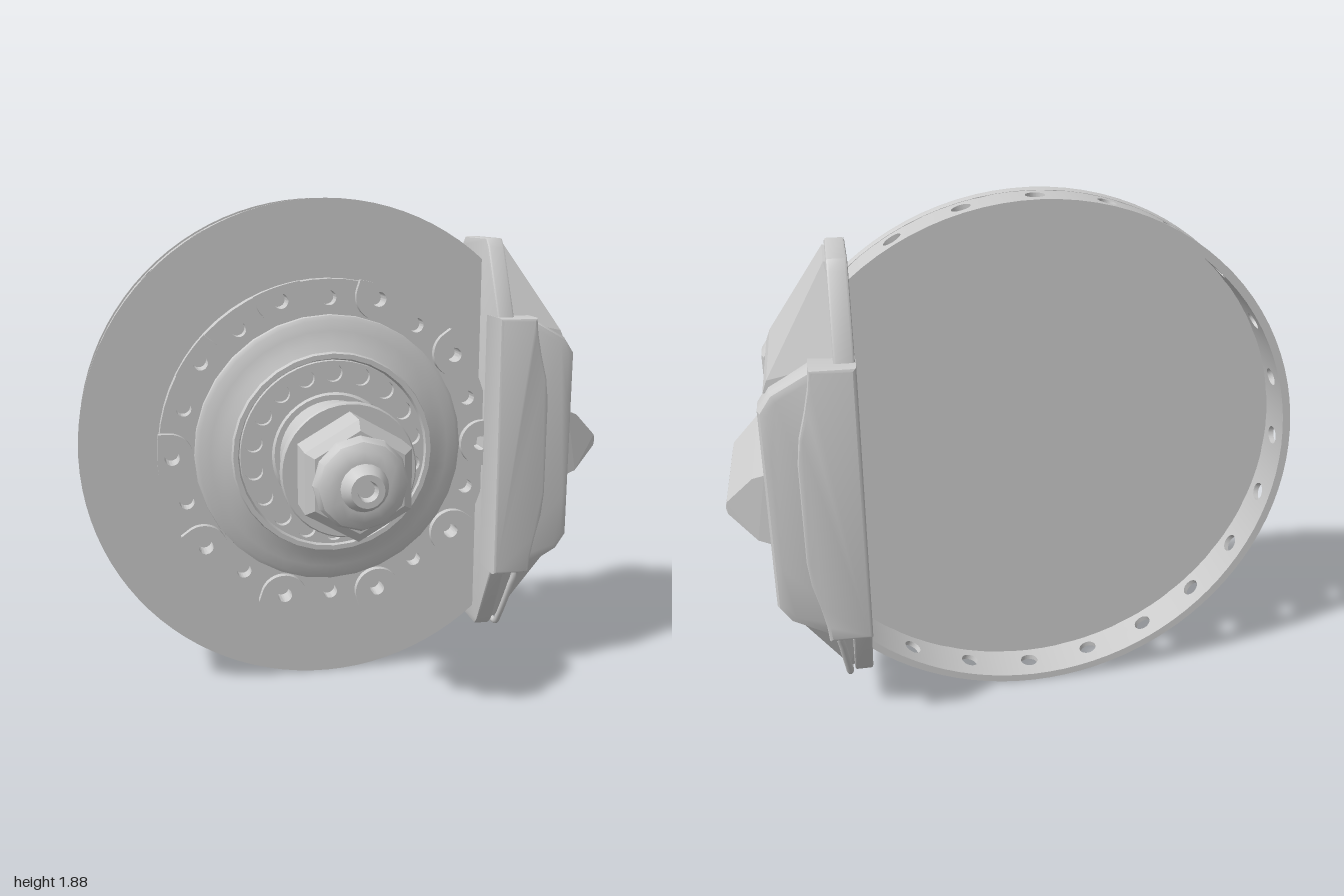
import * as THREE from 'three';
import { toCreasedNormals, mergeGeometries } from 'three/addons/utils/BufferGeometryUtils.js';
import { ConvexGeometry } from 'three/addons/geometries/ConvexGeometry.js';

const V2 = (p) => new THREE.Vector2(p[0], p[1]);
const MID = -0.2275; // z of the rotor and caliper mid-plane

export function createModel() {
  const model = new THREE.Group();
  const material = new THREE.MeshStandardMaterial({ color: 0xcccccc });
  const add = (parent, name, geometry) => {
    const mesh = new THREE.Mesh(geometry, material);
    mesh.name = name;
    parent.add(mesh);
    return mesh;
  };
  const group = (name) => {
    const g = new THREE.Group();
    g.name = name;
    model.add(g);
    return g;
  };

  // Turned part around the z axis; points are [radius, z]
  const turned = (points, sides) => toCreasedNormals(
    new THREE.LatheGeometry(points.map(V2), sides).rotateX(Math.PI / 2), 0.5);

  const circleHole = (x, y, r) => new THREE.Path().absarc(x, y, r, 0, Math.PI * 2, true);
  const extrude = (shape, z0, z1, bevel = 0, segments = 16) => {
    const g = new THREE.ExtrudeGeometry(shape, {
      depth: z1 - z0 - 2 * bevel, curveSegments: segments, bevelEnabled: bevel > 0,
      bevelThickness: bevel, bevelSize: bevel, bevelOffset: -bevel, bevelSegments: 2,
    });
    return toCreasedNormals(g.translate(0, 0, z0 + bevel), 0.5);
  };

  // Flat ring with holes listed as [count, pitch radius, hole radius, start angle]
  const drilledRing = (inner, outer, z0, z1, patterns) => {
    const shape = new THREE.Shape().absarc(0, 0, outer, 0, Math.PI * 2);
    shape.holes.push(circleHole(0, 0, inner));
    for (const [count, pitch, r, start] of patterns) {
      for (let i = 0; i < count; i++) {
        const a = start + (i / count) * Math.PI * 2;
        shape.holes.push(circleHole(Math.cos(a) * pitch, Math.sin(a) * pitch, r));
      }
    }
    return extrude(shape, z0, z1, 0, 32);
  };

  // ---- Rotor: cup-shaped disc, open at the back ----
  const rotor = group('rotor');
  rotor.position.set(-0.06, 0.94, 0);
  add(rotor, 'disc', turned([[0, -0.165], [0.935, -0.165], [0.94, -0.155], [0.94, -0.14], [0, -0.14]], 96));
  add(rotor, 'rearLip', turned([[0.912, -0.32], [0.94, -0.32], [0.94, -0.305], [0.912, -0.305], [0.912, -0.32]], 96));

  // Drilled rim: one 15 degree tile with a hole, bent round and repeated
  const R = 0.934, step = Math.PI / 12, half = R * step / 2, wall = 0.02;
  const edge = [-1, -0.5, 0, 0.5, 1].map((t) => t * half);
  const tile = new THREE.Shape([
    ...edge.map((u) => V2([u, -0.307])), ...edge.reverse().map((u) => V2([u, -0.152])),
  ]);
  tile.holes.push(circleHole(0, -0.23, 0.033));
  const rimTile = new THREE.ExtrudeGeometry(tile, { depth: wall, bevelEnabled: false, curveSegments: 20 });
  const pos = rimTile.attributes.position, nor = rimTile.attributes.normal;
  for (let i = 0; i < pos.count; i++) {
    const a = pos.getX(i) / R, r = R - wall + pos.getZ(i), s = Math.sin(a), c = Math.cos(a);
    const nu = nor.getX(i), nv = nor.getY(i), nw = nor.getZ(i);
    pos.setXYZ(i, -r * s, r * c, pos.getY(i));
    nor.setXYZ(i, -nu * c - nw * s, -nu * s + nw * c, nv);
  }
  const tiles = [];
  for (let i = 0; i < 24; i++) tiles.push(rimTile.clone().rotateZ(i * step));
  add(rotor, 'drilledRim', mergeGeometries(tiles));

  // ---- Hat, mounting ring and lugs ----
  add(rotor, 'mountingRing', drilledRing(0.5, 0.648, -0.14, -0.082, [
    [10, 0.6, 0.028, 0], [10, 0.578, 0.028, Math.PI / 10],
  ]));
  const lug = new THREE.Shape().absarc(0, 0, 0.654, -0.138, 0.138);
  lug.absarc(0.61, 0, 0.09, Math.PI / 2, Math.PI * 1.5);
  lug.holes.push(circleHole(0.6, 0, 0.028));
  const lugGeometry = extrude(lug, -0.082, -0.054);
  for (let i = 0; i < 10; i++) add(rotor, 'lug', lugGeometry).rotation.z = i * Math.PI / 5;
  add(rotor, 'hat', turned([
    [0.525, -0.14], [0.515, -0.065], [0.5, -0.056], [0.46, -0.048], [0.42, -0.035], [0.385, -0.02],
    [0.38, 0], [0.362, 0], [0.355, -0.03], [0, -0.03],
  ], 32));
  add(rotor, 'boltRing', drilledRing(0.235, 0.353, -0.03, -0.003, [[18, 0.308, 0.034, Math.PI / 2]]));

  // ---- Hub, nut and cap ----
  add(rotor, 'hub', turned([
    [0.235, -0.03], [0.225, -0.005], [0.205, -0.005], [0.205, 0.158], [0.198, 0.165], [0.16, 0.165], [0.16, 0.24],
    [0.24, 0.24], [0.245, 0.245], [0.245, 0.27], [0.24, 0.275], [0, 0.275],
  ], 40));
  add(rotor, 'hexNut', turned([[0.215, 0.27], [0.215, 0.42], [0.18, 0.442], [0, 0.442]], 6));
  add(rotor, 'cap', turned([
    [0.165, 0.43], [0.165, 0.455], [0.152, 0.485], [0.122, 0.505], [0.09, 0.51], [0, 0.51],
  ], 12));
  add(rotor, 'spindleTip', turned([
    [0.085, 0.505], [0.075, 0.53], [0.058, 0.558], [0.036, 0.558], [0.03, 0.525], [0, 0.525],
  ], 20));

  // ---- Caliper ----
  const caliper = group('caliper');
  const polygon = (points) => new THREE.Shape(points.map(V2));
  // Profiles are symmetric about the axle height
  const mirrorY = (upper) => [...upper.map(([x, y]) => [x, 0.944 - y]), ...upper.slice().reverse().map(([x, y]) => [x, 0.944 + y])];
  const innerShell = polygon(mirrorY([
    [0.553, 0.5], [0.7, 0.5], [0.706, 0.44], [0.722, 0.36], [0.745, 0.27], [0.755, 0.18],
  ]));
  const outerShell = polygon(mirrorY([[0.57, 0.49], [0.7, 0.49], [0.825, 0.42], [0.865, 0.36], [0.865, 0.2]]));
  const shells = [[-0.07, 0.1], [-0.555, -0.385]];
  for (const [z0, z1] of shells) {
    add(caliper, 'caliperHalf', extrude(innerShell, z0, z1, 0.012));
    add(caliper, 'caliperShoulder', extrude(outerShell, z0 + 0.018, z1 - 0.018, 0.03));
    add(caliper, 'halfInnerWall', new THREE.BoxGeometry(0.24, 0.8, 0.05)
      .translate(0.72, 0.945, z0 === -0.07 ? -0.06 : -0.395));
  }
  // Brake pads either side of the rim
  for (const z of [-0.1, -0.355]) {
    add(caliper, 'brakePad', new THREE.BoxGeometry(0.22, 0.82, 0.045).translate(0.72, 0.945, z));
  }

  // Tapered backing plate, drawn in z and y, then turned to face along x
  const halfPlate = [[0.115, 0.16], [0.14, 0.185], [0.285, 0.45], [0.285, 1.44], [0.155, 1.7], [0.125, 1.73]];
  const plate = polygon([...halfPlate, ...halfPlate.slice().reverse().map(([z, y]) => [-z, y])]);
  add(caliper, 'backingPlate', extrude(plate, 0, 0.067, 0.008)
    .rotateY(Math.PI / 2).translate(0.555, 0, MID));

  // Convex blocks from [x, y, half width] stations across the mid-plane
  const block = (stations) => new ConvexGeometry(stations.flatMap(([x, y, w]) => [
    new THREE.Vector3(x, y, MID + w), new THREE.Vector3(x, y, MID - w),
  ]));
  add(caliper, 'upperWedge', block([
    [0.57, 1.345, 0.24], [0.845, 1.345, 0.24], [0.83, 1.385, 0.235], [0.63, 1.715, 0.1], [0.57, 1.715, 0.1], [0.57, 1.44, 0.24],
  ]));
  add(caliper, 'lowerWedge', block([
    [0.57, 0.55, 0.235], [0.84, 0.55, 0.235], [0.825, 0.515, 0.23], [0.64, 0.19, 0.122], [0.57, 0.19, 0.122], [0.57, 0.44, 0.22],
  ]));
  add(caliper, 'bridge', block([
    [0.8, 1.07, 0.265], [0.865, 1.07, 0.262], [0.905, 1.055, 0.25], [0.995, 0.965, 0.225], [1, 0.944, 0.222],
    [0.995, 0.922, 0.225], [0.905, 0.832, 0.26], [0.865, 0.82, 0.27], [0.8, 0.82, 0.27],
  ]));

  // Wire bail looped round the lower wedge
  const bailHalf = [[0.65, 0.44, 0.235], [0.668, 0.42, 0.25], [0.66, 0.36, 0.235], [0.643, 0.21, 0.165], [0.64, 0.175, 0.14], [0.64, 0.168, 0.11]];
  const bail = [
    ...bailHalf.map(([x, y, w]) => new THREE.Vector3(x, y, MID + w)),
    ...bailHalf.slice().reverse().map(([x, y, w]) => new THREE.Vector3(x, y, MID - w)),
  ];
  add(caliper, 'wireBail', new THREE.TubeGeometry(new THREE.CatmullRomCurve3(bail), 64, 0.013, 8));

  return model;
}
